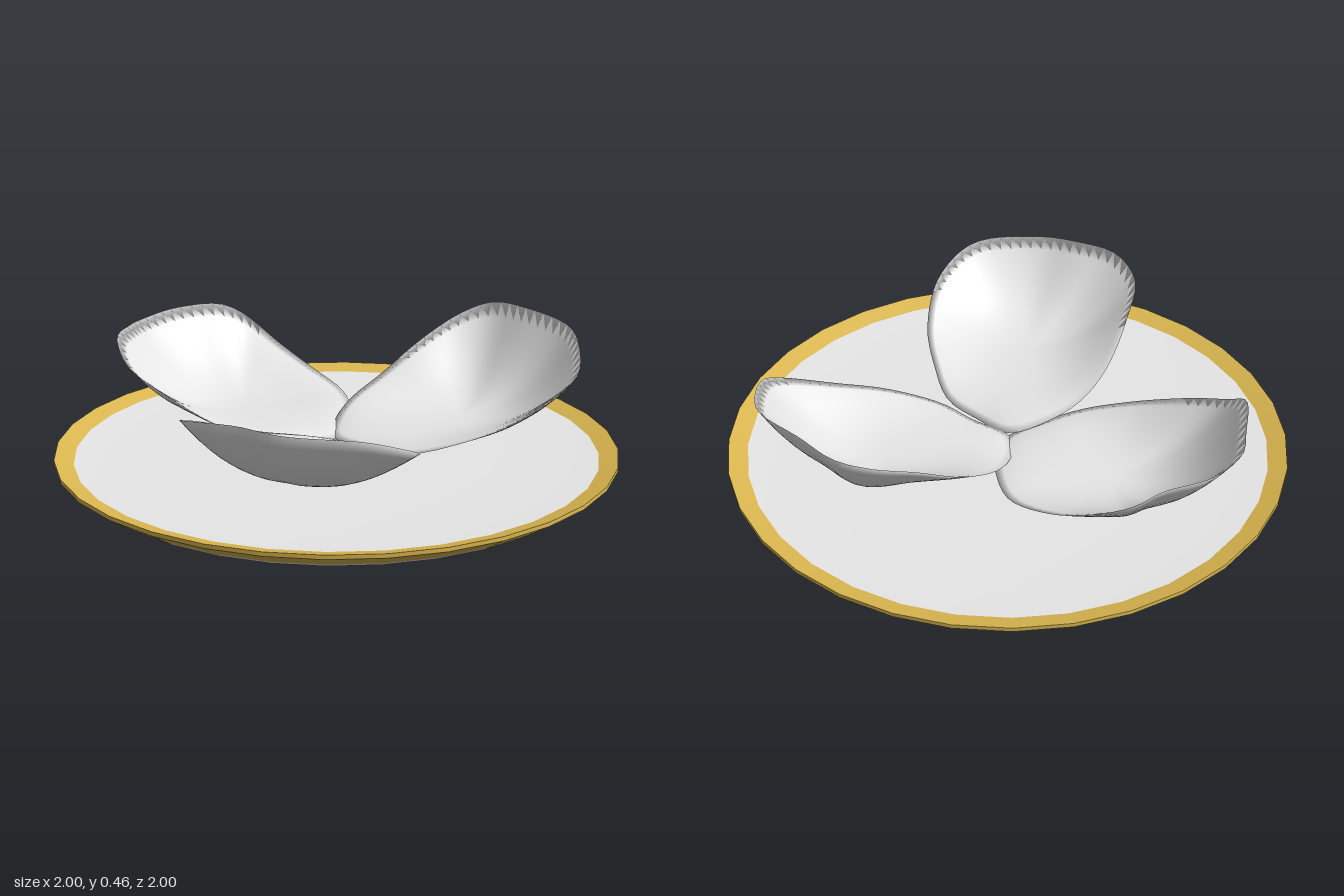
import * as THREE from 'three';
import { mergeGeometries, mergeVertices } from 'three/addons/utils/BufferGeometryUtils.js';

const SEGMENTS = 64, RINGS = 14;

// One ring of the plate, swept from a short profile of [radius, height] points
function plateRing(name, material, profile) {
  const points = profile.map(([r, y]) => new THREE.Vector2(r, y));
  const mesh = new THREE.Mesh(new THREE.LatheGeometry(points, 32), material);
  mesh.name = name;
  return mesh;
}

// Curved skin from a low centre out to the rim curve; lift sets it above the lower skin
function shellSkin(rim, centre, lift, up) {
  const pos = [], index = [];
  for (let r = 0; r <= RINGS; r++) {
    const t = r / RINGS;
    for (let s = 0; s < SEGMENTS; s++) {
      const p = rim[s];
      pos.push(
        centre.x + (p.x - centre.x) * t,
        centre.y + (p.y - centre.y) * Math.pow(t, 2.5) + lift * (1 - Math.pow(t, 6)),
        centre.z + (p.z - centre.z) * t
      );
      if (r === RINGS) continue;
      const n = (s + 1) % SEGMENTS;
      const a = r * SEGMENTS + s, b = r * SEGMENTS + n;
      const c = a + SEGMENTS, d = b + SEGMENTS;
      const tris = r === 0 ? [[a, c, d]] : [[a, c, d], [a, d, b]];
      for (const [i, j, k] of tris) index.push(...(up ? [i, j, k] : [i, k, j]));
    }
  }
  const geometry = new THREE.BufferGeometry();
  geometry.setAttribute('position', new THREE.Float32BufferAttribute(pos, 3));
  geometry.setIndex(index);
  return geometry;
}

// Closed thin shell with an irregular rim, listed counterclockwise from above;
// the skins are welded so the shading rolls over the rim
function shell(name, material, centre, outline) {
  const curve = new THREE.CatmullRomCurve3(
    outline.map((p) => new THREE.Vector3(...p)), true, 'centripetal');
  const rim = curve.getSpacedPoints(SEGMENTS).slice(0, SEGMENTS);
  const mid = new THREE.Vector3(...centre);
  const geometry = mergeVertices(mergeGeometries([
    shellSkin(rim, mid, 0.025, true),
    shellSkin(rim, mid, 0, false),
  ]));
  geometry.computeVertexNormals();
  const mesh = new THREE.Mesh(geometry, material);
  mesh.name = name;
  return mesh;
}

export function createModel() {
  const porcelain = new THREE.MeshStandardMaterial({ color: 0xeaeaea });
  porcelain.name = 'porcelain white';
  const shellWhite = new THREE.MeshStandardMaterial({ color: 0xf0f0f0 });
  shellWhite.name = 'shell white';
  const gold = new THREE.MeshStandardMaterial({ color: 0xdcb850 });
  gold.name = 'gold';

  const model = new THREE.Group();
  model.name = 'shellsOnPlate';

  // Plate: flat foot, flared side, gold lip and a shallow dished floor
  const plate = new THREE.Group();
  plate.name = 'plate';
  plate.add(
    plateRing('plateFoot', porcelain, [[0, 0], [0.9, 0]]),
    plateRing('plateLowerSide', porcelain, [[0.9, 0], [0.925, 0.016]]),
    plateRing('goldLowerSide', gold, [[0.925, 0.016], [1, 0.065]]),
    plateRing('goldEdge', gold, [[1, 0.065], [1, 0.08]]),
    plateRing('goldRim', gold, [[1, 0.08], [0.932, 0.062]]),
    plateRing('plateFloor', porcelain, [[0.932, 0.062], [0.8, 0.056], [0.5, 0.051], [0, 0.05]])
  );
  model.add(plate);

  // Three cupped shells rising outwards from the middle
  model.add(shell('rightShell', shellWhite, [-0.45, 0.1, -0.04], [
    [-0.01, 0.1, -0.01], [-0.05, 0.11, -0.15], [-0.13, 0.13, -0.27], [-0.25, 0.15, -0.37],
    [-0.43, 0.2, -0.41], [-0.57, 0.26, -0.415], [-0.74, 0.36, -0.395], [-0.8, 0.4, -0.33],
    [-0.9, 0.4, -0.18], [-0.92, 0.39, 0], [-0.88, 0.4, 0.1], [-0.8, 0.4, 0.26],
    [-0.7, 0.33, 0.32], [-0.55, 0.27, 0.33], [-0.32, 0.18, 0.3], [-0.16, 0.13, 0.22],
    [-0.06, 0.11, 0.08],
  ]));
  model.add(shell('backShell', shellWhite, [0.27, 0.11, -0.37], [
    [0.15, 0.1, 0], [0.3, 0.11, 0.01], [0.47, 0.16, -0.08], [0.6, 0.22, -0.22],
    [0.69, 0.31, -0.39], [0.705, 0.35, -0.47], [0.64, 0.4, -0.6], [0.52, 0.44, -0.73],
    [0.3, 0.46, -0.79], [0.14, 0.45, -0.815], [0.05, 0.41, -0.75], [-0.03, 0.33, -0.6],
    [-0.1, 0.22, -0.42], [-0.13, 0.16, -0.27], [-0.1, 0.12, -0.13], [-0.02, 0.1, -0.01],
  ]));
  model.add(shell('frontShell', shellWhite, [0.2, 0.125, 0.4], [
    [0, 0.1, 0], [-0.08, 0.12, 0.07], [-0.16, 0.16, 0.22], [-0.18, 0.22, 0.38],
    [-0.14, 0.31, 0.6], [-0.08, 0.37, 0.76], [0.05, 0.41, 0.83], [0.2, 0.42, 0.81],
    [0.35, 0.41, 0.78], [0.56, 0.39, 0.63], [0.6, 0.32, 0.45], [0.52, 0.23, 0.25],
    [0.4, 0.17, 0.12], [0.28, 0.12, 0.03], [0.14, 0.1, 0.01],
  ]));

  return model;
}
